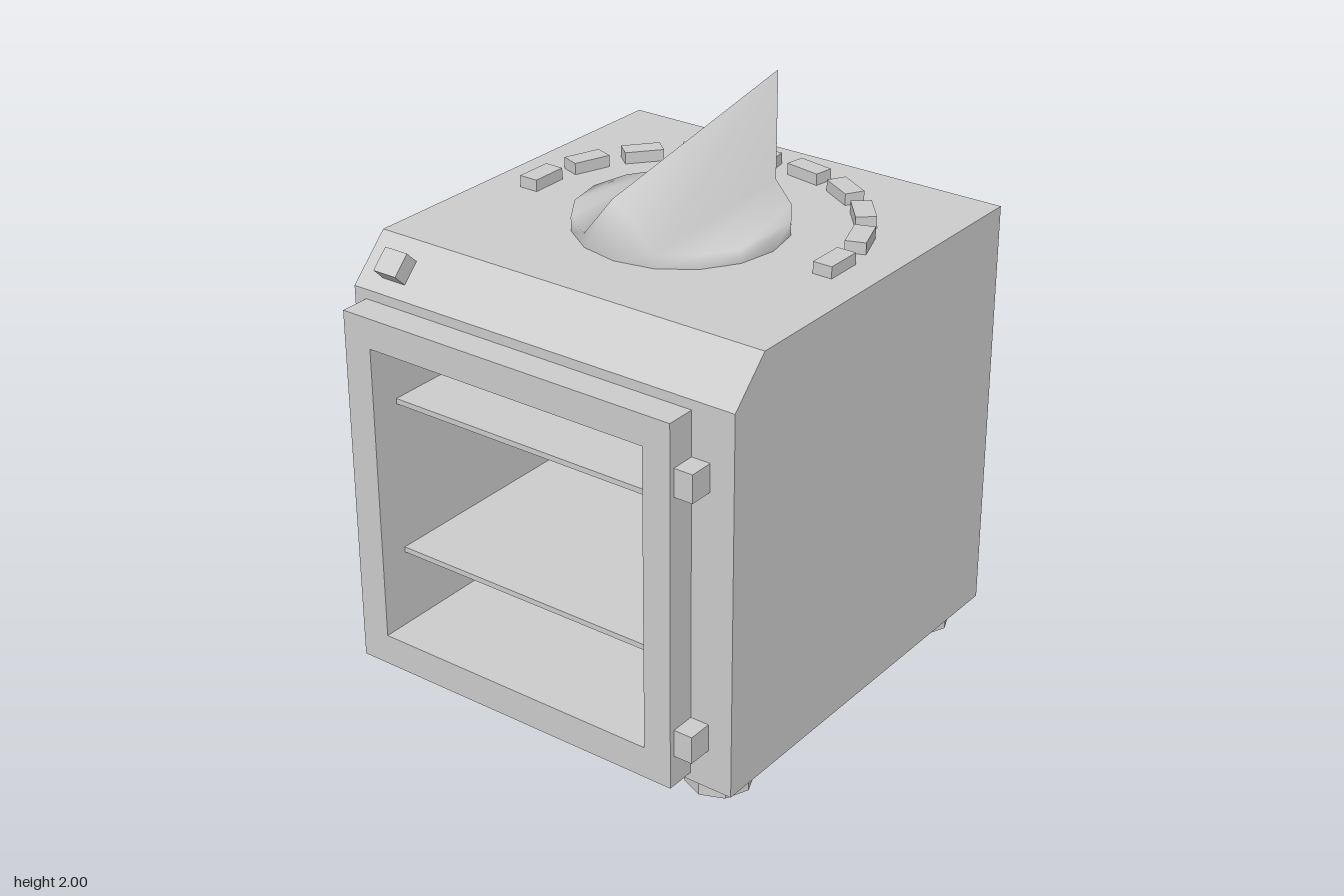
import * as THREE from 'three';

export function createModel() {
  const group = new THREE.Group();
  const material = new THREE.MeshStandardMaterial({ color: 0xcccccc, side: THREE.DoubleSide });
  const flat = new THREE.MeshStandardMaterial({ color: 0xcccccc, flatShading: true });

  const add = (name, geometry, mat = material, parent = group) => {
    const mesh = new THREE.Mesh(geometry, mat);
    mesh.name = name;
    parent.add(mesh);
    return mesh;
  };
  // Box given by its limits on each axis
  const box = (name, x0, x1, y0, y1, z0, z1) => {
    const mesh = add(name, new THREE.BoxGeometry(x1 - x0, y1 - y0, z1 - z0), flat);
    mesh.position.set((x0 + x1) / 2, (y0 + y1) / 2, (z0 + z1) / 2);
    return mesh;
  };
  const corners = (x0, x1, y0, y1) =>
    [[x0, y0], [x1, y0], [x1, y1], [x0, y1]].map(([x, y]) => new THREE.Vector2(x, y));
  // Rectangular frame around the oven opening
  const hole = [-0.61, 0.505, 0.22, 1.32];
  const frame = (name, x0, x1, y0, y1, z0, z1) => {
    const shape = new THREE.Shape(corners(x0, x1, y0, y1));
    shape.holes.push(new THREE.Path(corners(...hole)));
    const geo = new THREE.ExtrudeGeometry(shape, { depth: z1 - z0, bevelEnabled: false });
    add(name, geo, flat).position.z = z0;
  };

  // Hollow body, back wall and chamfered top
  frame('body', -0.77, 0.77, 0.075, 1.465, -0.77, 0.75);
  box('backWall', -0.77, 0.77, 0.075, 1.465, -0.79, -0.77);
  const topProfile = new THREE.Shape(
    [[0.79, 1.465], [0.79, 1.615], [-0.6, 1.615], [-0.75, 1.465]].map(([x, y]) => new THREE.Vector2(x, y)));
  const top = add('chamferedTop', new THREE.ExtrudeGeometry(topProfile, { depth: 1.54, bevelEnabled: false }), flat);
  top.rotation.y = Math.PI / 2;
  top.position.x = -0.77;

  // Door frame, hinges and shelves
  frame('door', -0.72, 0.61, 0.105, 1.43, 0.75, 0.86);
  for (const y of [0.22, 1.17]) box('hinge', 0.61, 0.68, y, y + 0.1, 0.75, 0.84);
  for (const y of [0.503, 1.075]) box('shelf', -0.61, 0.505, y, y + 0.02, -0.77, 0.75);

  // Push button on the chamfer
  const button = add('button', new THREE.BoxGeometry(0.095, 0.062, 0.088), flat);
  button.position.set(-0.628, 1.555, 0.702);
  button.rotation.x = Math.PI / 4;

  // Octagonal feet
  for (const x of [-0.617, 0.617]) for (const z of [0.598, -0.635]) {
    const foot = add('foot', new THREE.CylinderGeometry(0.117, 0.117, 0.08, 8), flat);
    foot.position.set(x, 0.04, z);
    foot.rotation.y = Math.PI / 2;
  }

  // Dial marks in a half circle
  for (let i = 0; i < 10; i++) {
    const a = (i * Math.PI) / 9;
    const mark = add('dialMark', new THREE.BoxGeometry(0.072, 0.05, 0.14), flat);
    mark.position.set(0.605 * Math.cos(a), 1.632, -0.022 - 0.605 * Math.sin(a));
    mark.rotation.y = a;
  }

  const knob = add('knob', knobGeometry());
  knob.position.set(0, 1.61, -0.02);

  // Fan set in the back wall, showing on both faces
  const fan = new THREE.Group();
  fan.name = 'fan';
  fan.position.set(0, 0.84, -0.79);
  group.add(fan);
  const ringProfile = [[0.345, -0.03], [0.355, -0.062], [0.37, -0.062], [0.38, -0.035],
    [0.38, 0.035], [0.37, 0.062], [0.355, 0.062], [0.345, 0.03], [0.345, -0.03]];
  const ring = new THREE.LatheGeometry(ringProfile.map(([r, y]) => new THREE.Vector2(r, y)), 16);
  add('fanRing', ring.rotateX(Math.PI / 2), material, fan);
  add('fanHub', new THREE.SphereGeometry(0.08, 10, 8), material, fan).scale.z = 0.75;
  const blade = bladeGeometry();
  for (let i = 0; i < 3; i++) add('fanBlade', blade, material, fan).rotation.z = (i * Math.PI * 2) / 3;

  return group;
}

// Sixteen-sided disc whose middle rises to a ridge with a leaning tip
function knobGeometry() {
  const n = 16, r = 0.37, pos = [], index = [];
  for (let i = 0; i < n; i++) {
    const a = (i / n) * Math.PI * 2; // 0 = front, n/2 = back
    pos.push(r * Math.sin(a), 0, r * Math.cos(a));
  }
  for (let i = 0; i < n; i++) {
    const a = (i / n) * Math.PI * 2;
    let y = 0.055, z = r * Math.cos(a);
    if (i === 0) y = 0.22;
    if (i === n / 2) { y = 0.39; z = -0.55; }
    if (Math.abs(i - n / 2) === 1) y = 0.09;
    pos.push(r * Math.sin(a), y, z);
  }
  for (let i = 0; i < n; i++) {
    const j = (i + 1) % n;
    index.push(i, j, n + j, i, n + j, n + i);
  }
  // Top strips joining front and back points of equal x
  for (let i = 0; i < n / 2; i++) {
    const f0 = i < n / 4 ? i : n - (i - n / 4), f1 = i < n / 4 ? i + 1 : f0 - 1;
    const b0 = (n / 2 - f0 + n) % n, b1 = (n / 2 - f1 + n) % n;
    const quad = [f0 % n, f1, b1, b0].map((k) => k + n);
    if (i < n / 4) index.push(quad[0], quad[1], quad[3], quad[1], quad[2], quad[3]);
    else index.push(quad[0], quad[3], quad[1], quad[1], quad[3], quad[2]);
  }
  const geo = new THREE.BufferGeometry();
  geo.setAttribute('position', new THREE.Float32BufferAttribute(pos, 3));
  geo.setIndex(index);
  geo.computeVertexNormals();
  return geo;
}

// Puffed blade from diamond sections: [distance, half width, half depth]
function bladeGeometry() {
  const rows = [[0.03, 0.035, 0.03], [0.09, 0.055, 0.045], [0.18, 0.098, 0.055], [0.285, 0.12, 0.035], [0.325, 0.002, 0.03]];
  const pos = [], index = [];
  for (const [y, w, d] of rows) {
    const edge = y > 0.3 ? 0.04 : 0;
    pos.push(w, y - edge * 0.1, 0, 0, y, d, -w, y - edge * 0.1, 0, 0, y, -d);
  }
  for (let i = 0; i < rows.length - 1; i++) for (let k = 0; k < 4; k++) {
    const a = i * 4 + k, b = i * 4 + ((k + 1) % 4);
    index.push(a, b, b + 4, a, b + 4, a + 4);
  }
  // Winding runs counter-clockwise seen from the tip, so flip to face outward
  for (let i = 0; i < index.length; i += 3) [index[i + 1], index[i + 2]] = [index[i + 2], index[i + 1]];
  const geo = new THREE.BufferGeometry();
  geo.setAttribute('position', new THREE.Float32BufferAttribute(pos, 3));
  geo.setIndex(index);
  geo.computeVertexNormals();
  return geo;
}
